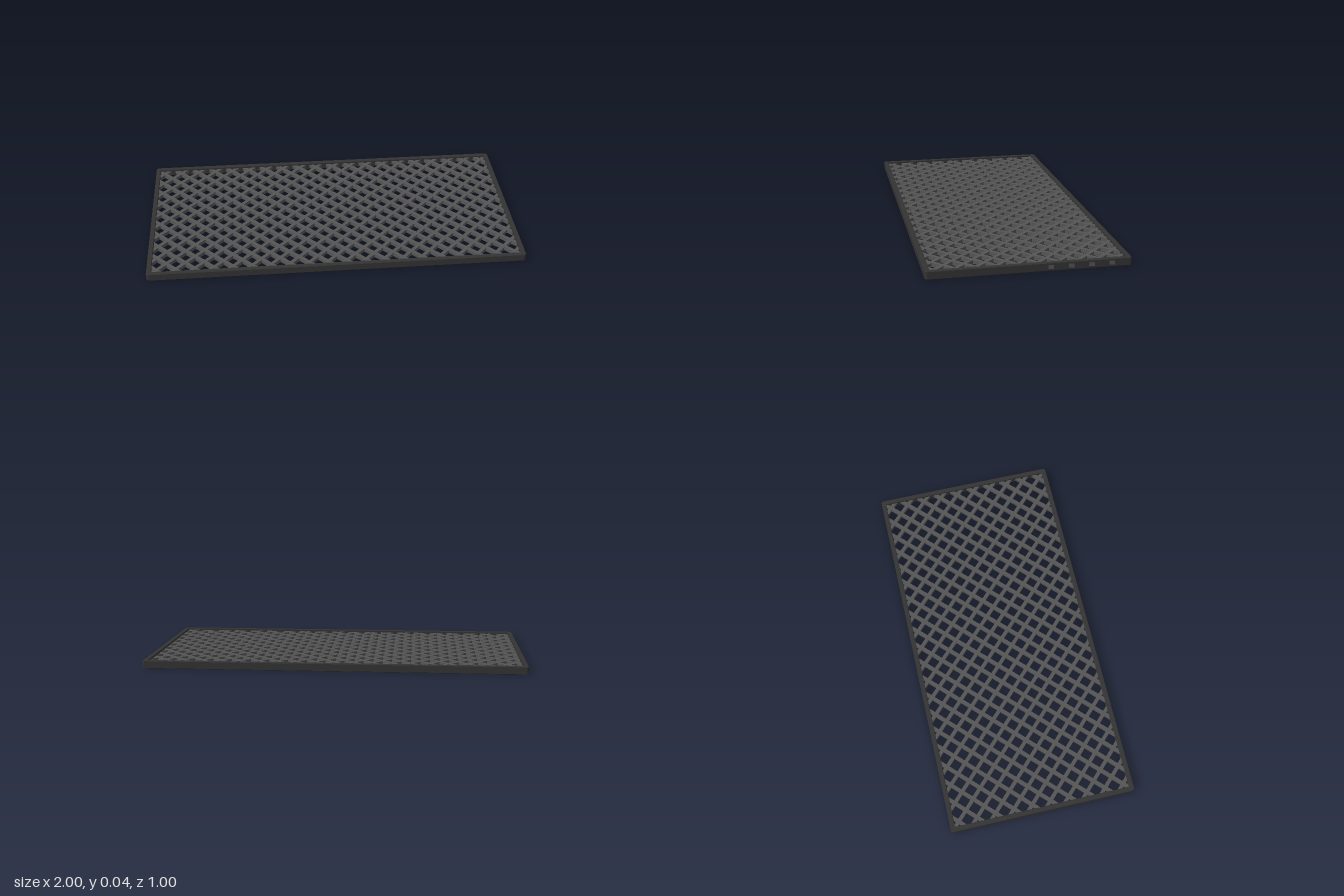
import * as THREE from 'three';

const HALF_X = 1, HALF_Z = 0.5, HEIGHT = 0.04, RAIL = 0.025;
const PITCH = 0.1, SLAT_W = 0.02, SLAT_H = 0.02, SLAT_Y = 0.02;

// Rectangle with chamfered corners
function chamferedRect(path, hx, hz, c) {
  path.moveTo(-hx + c, -hz);
  path.lineTo(hx - c, -hz);
  path.lineTo(hx, -hz + c);
  path.lineTo(hx, hz - c);
  path.lineTo(hx - c, hz);
  path.lineTo(-hx + c, hz);
  path.lineTo(-hx, hz - c);
  path.lineTo(-hx, -hz + c);
  path.closePath();
  return path;
}

// Border frame with a fine bevel on its edges
function makeFrame(material) {
  const bevel = 0.002;
  const shape = chamferedRect(new THREE.Shape(), HALF_X, HALF_Z, 0.01);
  shape.holes.push(chamferedRect(new THREE.Path(), HALF_X - RAIL, HALF_Z - RAIL, 0.003));
  const geometry = new THREE.ExtrudeGeometry(shape, {
    depth: HEIGHT - 2 * bevel, bevelEnabled: true, bevelSegments: 1,
    bevelThickness: bevel, bevelSize: bevel, bevelOffset: -bevel,
  });
  geometry.rotateX(-Math.PI / 2).translate(0, bevel, 0);
  const mesh = new THREE.Mesh(geometry, material);
  mesh.name = 'frame';
  return mesh;
}

// Diagonal slats z = dir * (x - offset), trimmed inside the frame
function makeSlats(dir, name, material) {
  const group = new THREE.Group();
  group.name = name;
  const lx = HALF_X - 0.015, lz = HALF_Z - 0.015;
  const count = Math.floor((HALF_X + HALF_Z) / PITCH);
  for (let i = -count; i <= count; i++) {
    const offset = i * PITCH;
    const x0 = Math.max(-lx, offset - lz), x1 = Math.min(lx, offset + lz);
    if (x1 - x0 < 0.02) continue;
    const slat = new THREE.Mesh(
      new THREE.BoxGeometry((x1 - x0) * Math.SQRT2, SLAT_H, SLAT_W), material);
    const xm = (x0 + x1) / 2;
    slat.position.set(xm, SLAT_Y, dir * (xm - offset));
    slat.rotation.y = -dir * Math.PI / 4;
    slat.name = 'slat';
    group.add(slat);
  }
  return group;
}

export function createModel() {
  const model = new THREE.Group();
  model.name = 'latticePanel';
  const dark = new THREE.MeshStandardMaterial({ color: 0x333333 });
  const grey = new THREE.MeshStandardMaterial({ color: 0x555555 });

  model.add(makeFrame(dark));
  model.add(makeSlats(1, 'forwardSlats', grey), makeSlats(-1, 'crossSlats', grey));

  // Slat ends showing through the side rail
  for (let i = 1; i <= 4; i++) {
    const end = new THREE.Mesh(new THREE.BoxGeometry(0.02, SLAT_H, 0.028), grey);
    end.position.set(HALF_X - 0.0095, SLAT_Y, -i * PITCH);
    end.name = 'slatEnd';
    model.add(end);
  }
  return model;
}
